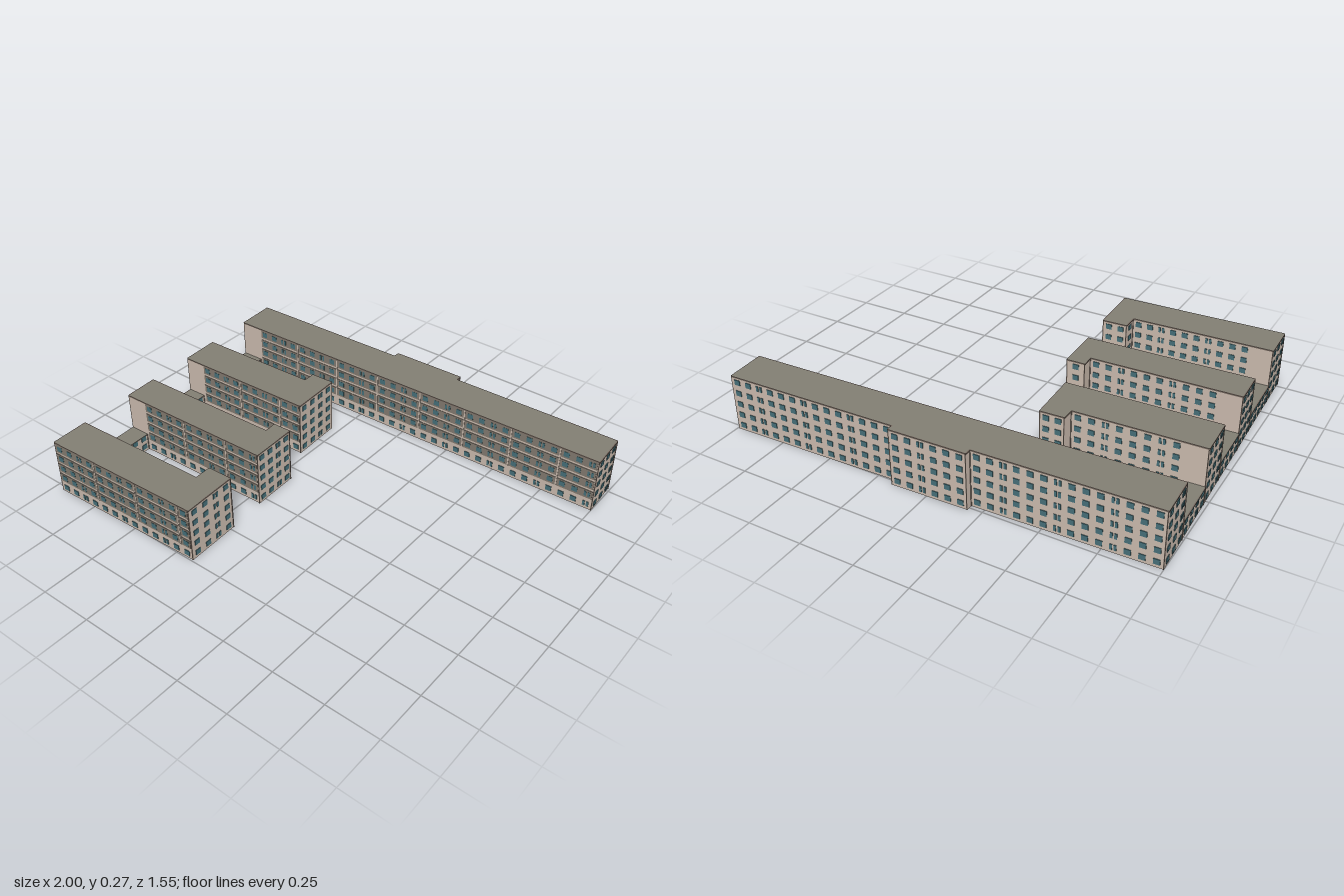
import * as THREE from 'three';
import { mergeGeometries } from 'three/addons/utils/BufferGeometryUtils.js';

const FLOOR = 0.054;
const TALL = 5 * FLOOR;
const LOW = 0.087;

function material(name, color, side = THREE.DoubleSide) {
  const m = new THREE.MeshStandardMaterial({ color, side });
  m.name = name;
  return m;
}

// Footprints as [x, z] corners, clockwise seen from above
const blocks = [
  { name: 'longBlock', height: TALL, blankEnd: 0.11, points: [
    [-1, -0.71], [-0.19, -0.735], [-0.19, -0.765], [0.165, -0.775],
    [0.165, -0.745], [0.99, -0.768], [1, -0.58], [-0.993, -0.52]] },
  { name: 'backWing', height: TALL, blankEnd: 0.1, points: [
    [-0.985, -0.275], [-0.4, -0.295], [-0.4, -0.355], [-0.29, -0.36],
    [-0.28, -0.112], [-0.978, -0.09]] },
  { name: 'middleWing', height: TALL, blankEnd: 0.1, points: [
    [-0.971, 0.15], [-0.275, 0.13], [-0.278, 0.07], [-0.193, 0.067],
    [-0.186, 0.29], [-0.965, 0.313]] },
  { name: 'frontWing', height: TALL, blankEnd: 0, points: [
    [-0.956, 0.588], [-0.285, 0.565], [-0.287, 0.485], [-0.17, 0.48],
    [-0.16, 0.742], [-0.95, 0.77]] },
  { name: 'backConnector', height: LOW, link: true, points: [
    [-0.993, -0.52], [-0.89, -0.523], [-0.885, -0.278], [-0.985, -0.275]] },
  { name: 'middleConnector', height: LOW, link: true, points: [
    [-0.978, -0.09], [-0.888, -0.093], [-0.88, 0.147], [-0.971, 0.15]] },
  { name: 'frontConnector', height: LOW, link: true, points: [
    [-0.965, 0.313], [-0.872, 0.31], [-0.865, 0.585], [-0.956, 0.588]] }
];

function buildBlock(block, mats) {
  const { points, height, blankEnd = 0, link } = block;
  const parts = { walls: [], windows: [], galleryBands: [], trim: [] };
  const floors = Math.max(2, Math.round(height / FLOOR));
  const step = link ? 0.046 : FLOOR;

  points.forEach((a, i) => {
    const b = points[(i + 1) % points.length];
    const dx = b[0] - a[0], dz = b[1] - a[1];
    const length = Math.hypot(dx, dz);
    const outZ = -dx / length;
    if (link && Math.abs(outZ) > 0.9) return; // hidden inside the neighbouring block

    const place = new THREE.Matrix4()
      .makeRotationY(Math.atan2(dz, -dx))
      .setPosition((a[0] + b[0]) / 2, 0, (a[1] + b[1]) / 2);
    const plate = (list, u, y, w, h, thick) =>
      list.push(new THREE.BoxGeometry(w, h, thick).translate(u, y, 0).applyMatrix4(place));

    parts.walls.push(new THREE.PlaneGeometry(length, height)
      .translate(0, height / 2, 0).applyMatrix4(place));

    // Roof edge and corner strips
    plate(parts.trim, 0, height - 0.003, length, 0.006, 0.005);
    plate(parts.trim, length / 2 - 0.0015, height / 2, 0.003, height, 0.005);

    // Facade range, leaving the stretch over a connector blank
    const isFront = outZ > 0.9 && length > 0.5;
    const isLongBack = outZ < -0.9 && length > 0.5;
    const westLimit = isFront ? blankEnd : 0;
    const eastLimit = isLongBack && block.name !== 'longBlock' ? 0.1 : 0;
    const start = -length / 2 + westLimit, end = length / 2 - eastLimit;
    const span = end - start;
    if (span < 0.07) return;

    const bays = Math.max(1, Math.round(span / 0.06));
    const pitch = span / bays;
    for (let f = 0; f < floors; f++) {
      const y = f * step + 0.027;
      const gallery = isFront && f > 0;
      if (gallery) plate(parts.galleryBands, (start + end) / 2, y, span - 0.012, 0.043, 0.004);
      for (let k = 0; k < bays; k++) {
        const u = start + (k + 0.5) * pitch;
        if (k % 4 === 2) {
          // Narrow paired windows
          for (const s of [-1, 1]) plate(parts.windows, u + s * 0.009, y, 0.011, 0.025, 0.006);
        } else {
          plate(parts.windows, u, y, 0.028, 0.025, 0.006);
        }
      }
    }
    // Light piers dividing the gallery bands
    if (isFront) {
      for (let k = 4; k < bays; k += 4) {
        plate(parts.walls, start + k * pitch, (height + FLOOR) / 2, 0.006, height - FLOOR - 0.012, 0.007);
      }
    }
  });

  const group = new THREE.Group();
  group.name = block.name;
  for (const [name, list] of Object.entries(parts)) {
    if (!list.length) continue;
    const mesh = new THREE.Mesh(mergeGeometries(list), mats[name]);
    mesh.name = name;
    group.add(mesh);
  }

  // Flat roof
  const shape = new THREE.Shape(points.map(([x, z]) => new THREE.Vector2(x, -z)));
  const roof = new THREE.Mesh(
    new THREE.ShapeGeometry(shape).rotateX(-Math.PI / 2).translate(0, height, 0), mats.roof);
  roof.name = 'roof';
  group.add(roof);
  return group;
}

export function createModel() {
  const mats = {
    walls: material('beige wall', 0xcbbbae),
    windows: material('teal glass', 0x467079),
    galleryBands: material('grey brown band', 0x827a6f),
    trim: material('brown trim', 0x7d7066),
    roof: material('grey roof', 0x827f74)
  };
  const model = new THREE.Group();
  model.name = 'apartmentComplex';
  for (const block of blocks) model.add(buildBlock(block, mats));
  return model;
}
